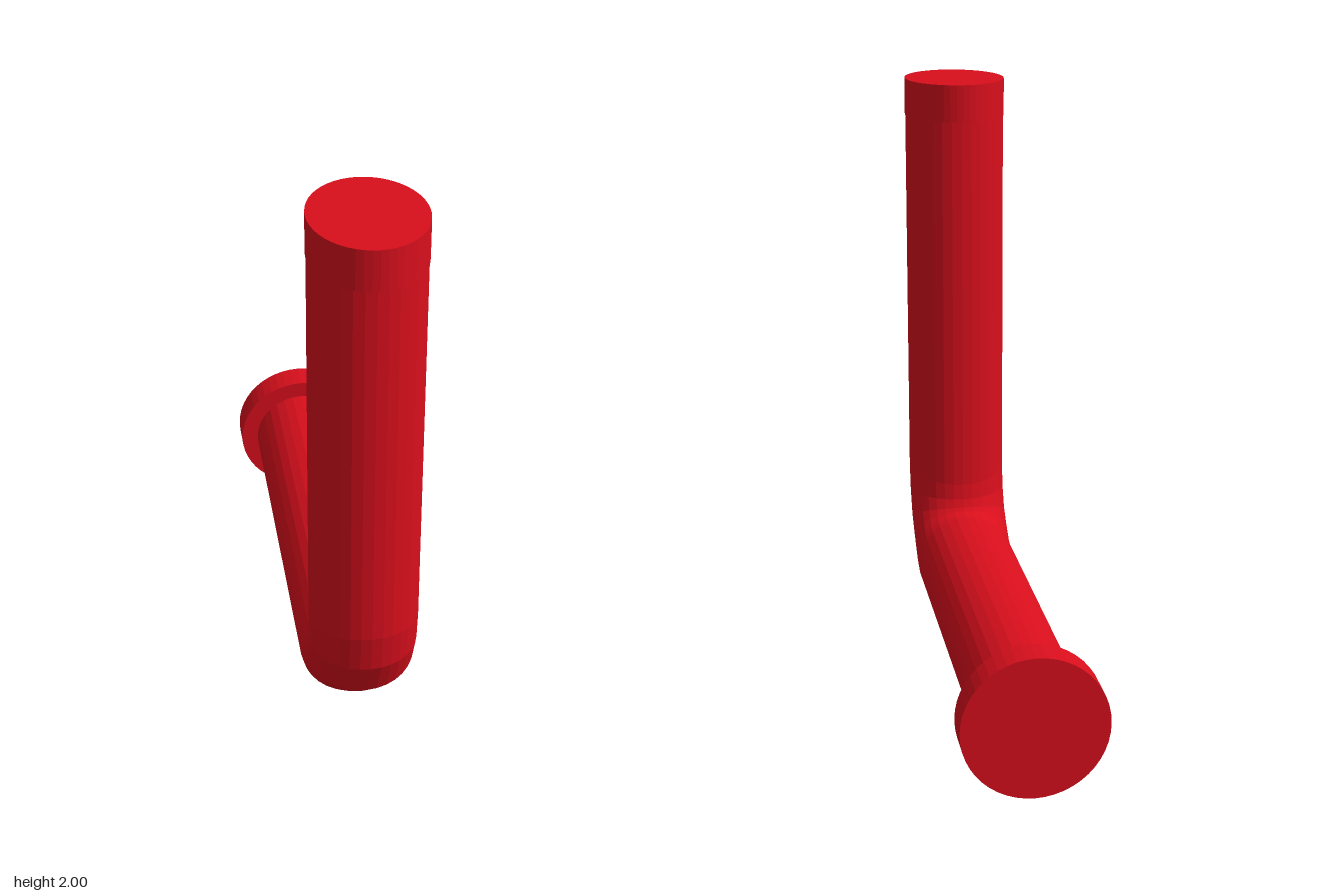
import * as THREE from 'three';

const SIDES = 32;
const RADIUS = 0.175;

// Rings down the pipe: outer [z, y] and inner [z, y] edge of each section
const RINGS = [
  [[0.865, 1.93], [0.515, 1.93]],
  [[0.865, 0.6], [0.515, 0.52]],
  [[0.845, 0.46], [0.508, 0.465]],
  [[0.775, 0.31], [0.497, 0.437]],
  [[0.665, 0.205], [0.487, 0.425]],
  [[0.55, 0.105], [0.472, 0.418]],
  [[0.455, 0.065], [0.455, 0.415]],
  [[-0.85, 0.065], [-0.85, 0.415]],
];

// Elliptical sections joined into an open tube
function pipeGeometry() {
  const pos = [], index = [];
  for (const [[oz, oy], [iz, iy]] of RINGS) {
    for (let j = 0; j < SIDES; j++) {
      const a = (j / SIDES) * Math.PI * 2;
      const c = Math.cos(a) / 2;
      pos.push(RADIUS * Math.sin(a), (oy + iy) / 2 + c * (oy - iy), (oz + iz) / 2 + c * (oz - iz));
    }
  }
  for (let i = 0; i < RINGS.length - 1; i++) {
    for (let j = 0; j < SIDES; j++) {
      const k = (j + 1) % SIDES;
      const a = i * SIDES + j, b = i * SIDES + k;
      index.push(a, a + SIDES, b, b, a + SIDES, b + SIDES);
    }
  }
  const g = new THREE.BufferGeometry();
  g.setAttribute('position', new THREE.Float32BufferAttribute(pos, 3));
  g.setIndex(index);
  g.computeVertexNormals();
  return g;
}

export function createModel() {
  const group = new THREE.Group();
  group.name = 'elbowPipe';
  const red = new THREE.MeshStandardMaterial({ color: 0xd80f1c, flatShading: true });
  const add = (name, geometry) => {
    const mesh = new THREE.Mesh(geometry, red);
    mesh.name = name;
    group.add(mesh);
    return mesh;
  };

  add('pipe', pipeGeometry());

  // Oval collar, flush with the pipe at the sides
  const top = add('topCollar', new THREE.CylinderGeometry(1, 1, 0.13, 48));
  top.scale.set(RADIUS + 0.001, 1, 0.218);
  top.position.set(0, 1.935, 0.687);

  // Round flange at the back end
  const back = add('backFlange', new THREE.CylinderGeometry(0.235, 0.235, 0.105, 48));
  back.rotation.x = Math.PI / 2;
  back.position.set(0, 0.24, -0.8525);

  return group;
}
